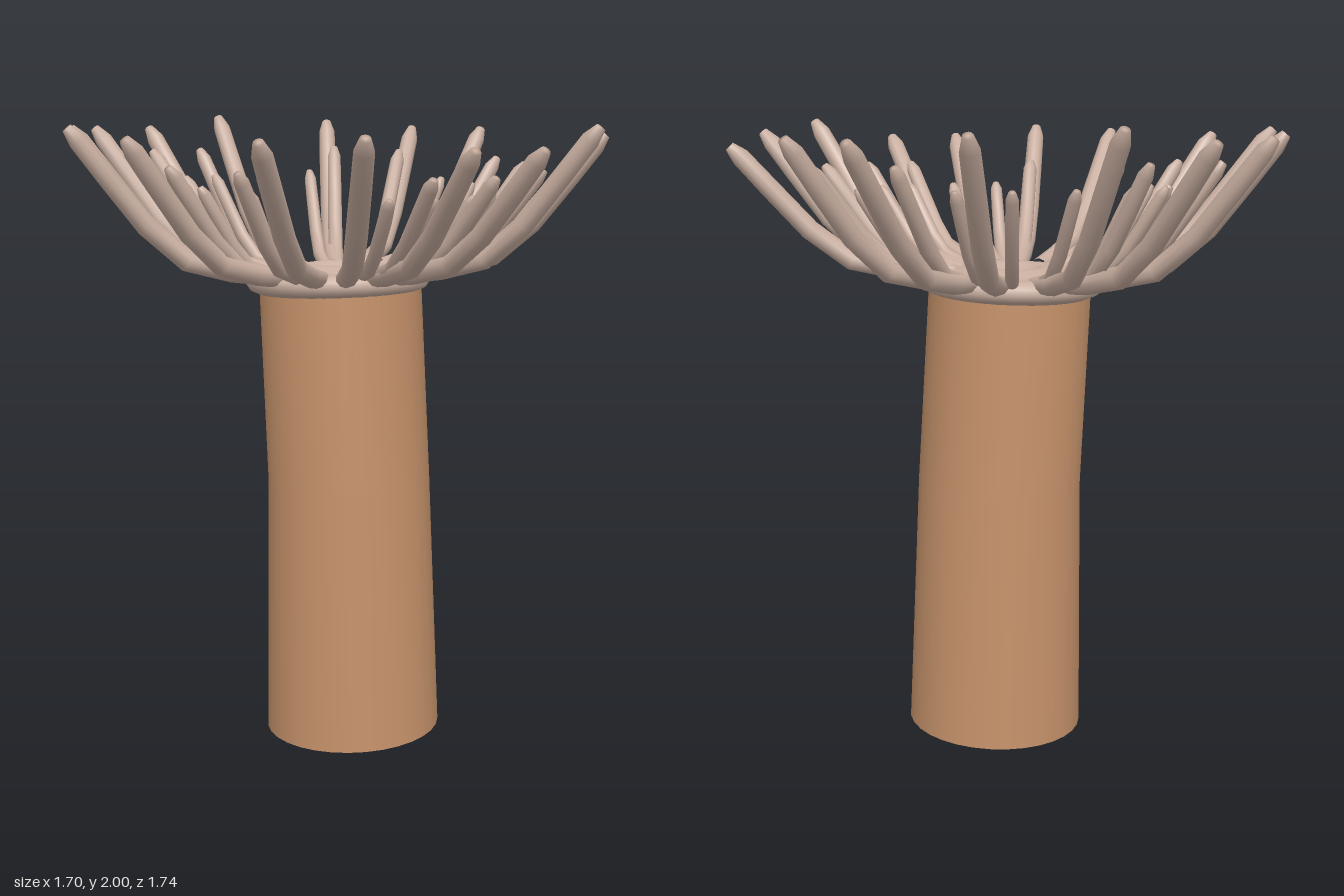
import * as THREE from 'three';

const columnMat = new THREE.MeshStandardMaterial({ color: 0xc8946c });
const fleshMat = new THREE.MeshStandardMaterial({ color: 0xc8aea0 });
const CX = -0.01, CZ = 0.015; // centre of the oral disc

// Column: a cylinder widened at the foot and bent along its height
function column() {
  const g = new THREE.CylinderGeometry(1, 1, 1, 32, 2);
  const p = g.attributes.position;
  const levels = [ // x, y, radius, slope of the ring
    [0.06, 0.016, 0.28, 0.055],
    [0.037, 0.83, 0.258, 0.05],
    [-0.01, 1.46, 0.253, 0.05],
  ];
  for (let i = 0; i < p.count; i++) {
    const [x, y, r, slope] = levels[Math.round((p.getY(i) + 0.5) * 2)];
    const dx = p.getX(i) * r;
    p.setXYZ(i, x + dx, y + dx * slope, 0.022 + p.getZ(i) * r);
  }
  const m = new THREE.Mesh(g, columnMat);
  m.name = 'column';
  return m;
}

// Oral disc: rounded collar, dished top and raised lip round the mouth
function oralDisc() {
  const pts = [[0.2, -0.025], [0.245, -0.025], [0.275, -0.012], [0.288, 0.008], [0.28, 0.028],
    [0.255, 0.044], [0.22, 0.046], [0.19, 0.042], [0.16, 0.05], [0.13, 0.06], [0.105, 0.064],
    [0.08, 0.058], [0.066, 0.042], [0.05, 0.038], [0, 0.038]].map(([x, y]) => new THREE.Vector2(x, y));
  const m = new THREE.Mesh(new THREE.LatheGeometry(pts, 40), fleshMat);
  m.position.set(CX, 1.455, CZ);
  m.rotation.z = 0.04;
  m.name = 'oralDisc';
  return m;
}

// Tentacle: rings swept outward and up from the disc to the tip
const PROFILE = [[0, 0], [0.2, 0.04], [0.43, 0.12], [0.63, 0.36], [0.82, 0.69], [0.95, 0.92], [1, 1], [1, 1]];
const WIDTH = [0.9, 1, 1, 1, 0.97, 0.92, 0.5, 0];
function tentacle(x, z, tipY, baseR, radius, name) {
  const reach = Math.hypot(x - CX, z - CZ), sides = 10;
  const d = new THREE.Vector3((x - CX) / reach, 0, (z - CZ) / reach);
  const baseY = 1.487 + 0.04 * d.x * baseR;
  const path = PROFILE.map(([t, h]) => new THREE.Vector3(CX, baseY + (tipY - baseY) * h, CZ)
    .addScaledVector(d, baseR + (reach - baseR) * t));
  const pos = [], idx = [];
  path.forEach((c, i) => {
    const a = path[Math.min(Math.max(i - 1, 0), 5)], b = path[Math.min(i + 1, 6)];
    const T = b.clone().sub(a).normalize();
    const N = d.clone().multiplyScalar(-T.y);
    N.y = T.dot(d);
    const S = T.clone().cross(N);
    for (let j = 0; j < sides; j++) {
      const q = j / sides * Math.PI * 2, r = radius * WIDTH[i];
      const v = c.clone().addScaledVector(N, r * Math.cos(q)).addScaledVector(S, r * Math.sin(q));
      pos.push(v.x, v.y, v.z);
      if (i < path.length - 1) {
        const k = i * sides + j, n = i * sides + (j + 1) % sides;
        idx.push(k, n, k + sides, n, n + sides, k + sides);
      }
    }
  });
  const g = new THREE.BufferGeometry();
  g.setAttribute('position', new THREE.Float32BufferAttribute(pos, 3));
  g.setIndex(idx);
  g.computeVertexNormals();
  const m = new THREE.Mesh(g, fleshMat);
  m.name = name;
  return m;
}

// Tips as x, z and, for the outer ring, height
const OUTER = [[0.82, 0.015, 1.95], [0.84, -0.29, 1.96], [0.63, -0.52, 1.98], [0.29, -0.74, 1.99],
  [0.065, -0.86, 1.95], [-0.25, -0.8, 1.94], [-0.52, -0.63, 1.93], [-0.74, -0.41, 1.92],
  [-0.84, -0.08, 1.88], [-0.83, 0.38, 1.865], [-0.66, 0.59, 1.875], [-0.44, 0.78, 1.845],
  [-0.21, 0.855, 1.85], [0.13, 0.84, 1.92], [0.43, 0.7, 1.91], [0.67, 0.52, 1.89]];
const MIDDLE = [[0.6, -0.18], [0.53, -0.41], [0.035, -0.6], [-0.15, -0.64], [-0.37, -0.52],
  [-0.53, -0.33], [-0.63, -0.12], [-0.62, 0.13], [-0.51, 0.46], [-0.345, 0.59], [-0.135, 0.66],
  [0.05, 0.66], [0.29, 0.57], [0.47, 0.4], [0.61, 0.21]];
const INNER = [[0.42, -0.22], [0.35, -0.38], [0.18, -0.46], [-0.05, -0.46], [-0.19, -0.46],
  [-0.34, -0.34], [-0.43, -0.18], [-0.44, 0.02], [-0.31, 0.42], [-0.17, 0.48], [-0.01, 0.51],
  [0.13, 0.49], [0.3, 0.39], [0.41, 0.24], [0.49, 0.07]];

export function createModel() {
  const model = new THREE.Group();
  model.name = 'seaAnemone';
  model.add(column(), oralDisc());

  const rings = [
    ['outerTentacle', OUTER, 0, 0.225, 0.031],
    ['middleTentacle', MIDDLE, 1.83, 0.2, 0.025],
    ['innerTentacle', INNER, 1.76, 0.18, 0.021],
  ];
  for (const [name, tips, height, baseR, radius] of rings) {
    const ring = new THREE.Group();
    ring.name = name + 's';
    for (const [x, z, y = height + 0.05 * x - 0.07 * z] of tips)
      ring.add(tentacle(x, z, y, baseR, radius, name));
    model.add(ring);
  }
  return model;
}
